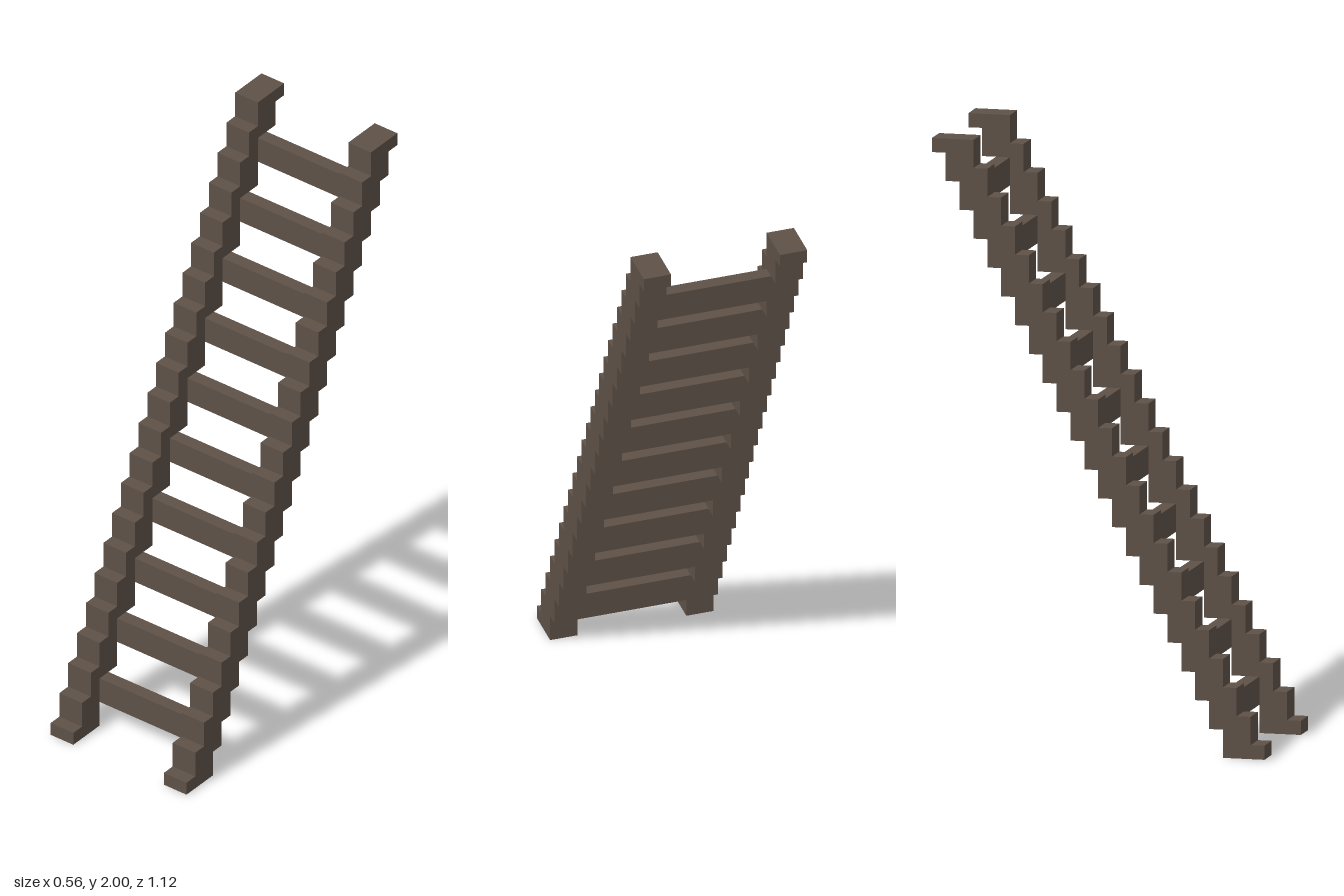
import * as THREE from 'three';

const U = 2 / 43; // one block unit

export function createModel() {
  const ladder = new THREE.Group();
  ladder.name = 'ladder';
  const wood = new THREE.MeshStandardMaterial({ color: 0x5e5147 });
  wood.name = 'dark wood';

  // Stepped side profile of a rail: x of the shape is z of the model
  const front = [], back = [];
  for (let k = 0; k <= 21; k++) {
    front.push([12 - k, Math.max(0, 2 * k - 1)], [12 - k, 2 * k + 1]);
    back.push([9 - k, 2 * k], [9 - k, Math.min(43, 2 * k + 2)]);
  }
  const outline = [...front, ...back.reverse()].map(([z, y]) => new THREE.Vector2(z * U, y * U));
  const railGeometry = new THREE.ExtrudeGeometry(new THREE.Shape(outline), { depth: 2 * U, bevelEnabled: false });
  railGeometry.rotateY(-Math.PI / 2);
  railGeometry.translate(U, 0, 0);

  for (const side of [1, -1]) {
    const rail = new THREE.Mesh(railGeometry, wood);
    rail.name = side > 0 ? 'leftRail' : 'rightRail';
    rail.position.x = side * 5 * U;
    ladder.add(rail);
  }

  // Rungs sit flush with the back of the rails
  const rungGeometry = new THREE.BoxGeometry(8 * U, 2 * U, U);
  for (let i = 0; i < 10; i++) {
    const rung = new THREE.Mesh(rungGeometry, wood);
    rung.name = `rung${i + 1}`;
    rung.position.set(0, (3 + 4 * i) * U, (8.5 - 2 * i) * U);
    ladder.add(rung);
  }
  return ladder;
}
